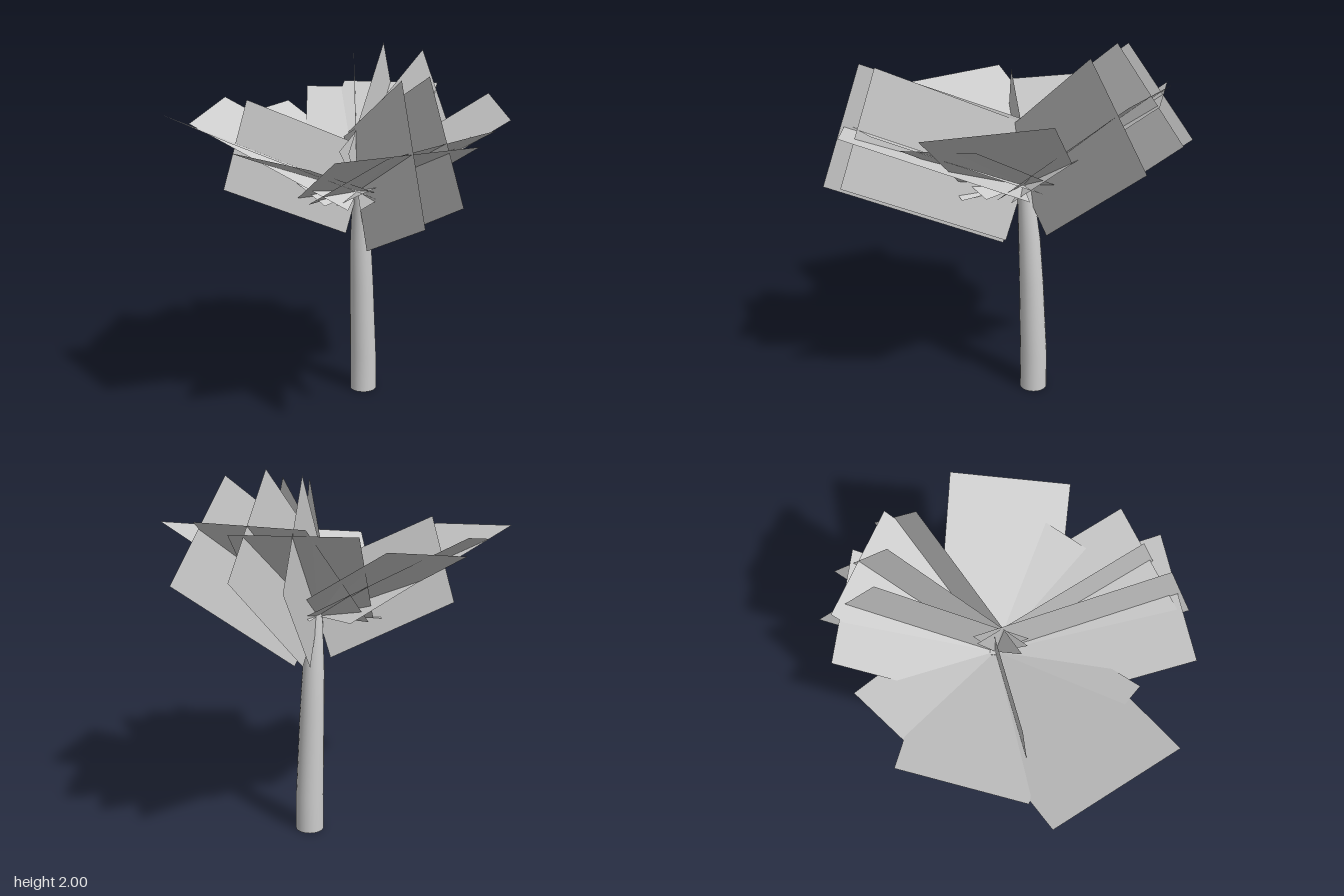
import * as THREE from 'three';

const V = (x, y, z) => new THREE.Vector3(x, y, z);
const CROWN = V(0.08, 1.2, -0.07); // where every leaf card is rooted

// Outer two corners of each leaf card
const flatCards = [
  [-0.845, 1.66, -0.572, -0.975, 1.59, 0.13],
  [-0.164, 1.69, -0.9, -0.684, 1.6, -0.56],
  [0.247, 1.65, -0.8, -0.31, 1.57, -0.76],
  [0.827, 1.76, -0.1, 0.577, 1.76, -0.64],
  [0.79, 1.725, -0.34, 0.4, 1.73, -0.79],
  [-0.51, 1.52, 0.65, 0.09, 1.61, 0.827],
  [-0.725, 1.515, 0.535, -0.138, 1.56, 0.89],
  [0.36, 1.63, 0.73, 0.79, 1.72, 0.296],
  [-0.03, 1.48, 0.615, 0.46, 1.56, 0.485],
  [-0.68, 1.48, -0.26, -0.615, 1.44, 0.265],
];
const uprightCards = [
  [0.615, 1.96, -0.05, 0.964, 1.475, -0.105],
  [-0.39, 1.86, 0.63, -0.467, 1.22, 0.84],
  [-0.2, 1.87, 0.64, -0.21, 1.28, 0.86],
  [0.54, 2.0, -0.284, 0.86, 1.53, -0.447],
  [0.45, 1.975, -0.443, 0.72, 1.5, -0.666],
  [-0.446, 1.72, -0.374, -0.57, 1.25, -0.437],
];

// Rectangle reaching from the crown to the given outer edge
function leafCard([ax, ay, az, bx, by, bz]) {
  const a = V(ax, ay, az), b = V(bx, by, bz);
  const reach = a.clone().add(b).multiplyScalar(0.5).sub(CROWN);
  const c = b.clone().sub(reach), d = a.clone().sub(reach);
  const g = new THREE.BufferGeometry().setFromPoints([a, b, c, d]);
  g.setIndex([0, 1, 2, 0, 2, 3]);
  g.computeVertexNormals();
  return g;
}

// Bent, tapering trunk: a unit cylinder whose rings follow [x, y, z, radius]
function trunkGeometry() {
  const rings = [
    [0.158, 0, -0.096, 0.077],
    [0.157, 0.21, -0.096, 0.076],
    [0.137, 0.65, -0.09, 0.067],
    [0.122, 0.9, -0.085, 0.06],
    [0.1, 1.22, -0.068, 0.042],
  ];
  const n = rings.length - 1;
  const g = new THREE.CylinderGeometry(1, 1, n, 20, n);
  const p = g.attributes.position;
  for (let i = 0; i < p.count; i++) {
    const [x, y, z, r] = rings[Math.round(p.getY(i) + n / 2)];
    p.setXYZ(i, x + p.getX(i) * r, y, z + p.getZ(i) * r);
  }
  g.computeVertexNormals();
  return g;
}

export function createModel() {
  const grey = new THREE.MeshStandardMaterial({ color: 0xcccccc, side: THREE.DoubleSide });
  grey.name = 'light grey';
  const model = new THREE.Group();
  model.name = 'tree';

  const trunk = new THREE.Mesh(trunkGeometry(), grey);
  trunk.name = 'trunk';
  model.add(trunk);

  // Crown of leaf cards
  const crown = new THREE.Group();
  crown.name = 'crown';
  for (const [name, cards] of [['spreadingLeaf', flatCards], ['uprightLeaf', uprightCards]]) {
    cards.forEach((corners, i) => {
      const leaf = new THREE.Mesh(leafCard(corners), grey);
      leaf.name = name + (i + 1);
      crown.add(leaf);
    });
  }
  model.add(crown);
  return model;
}
